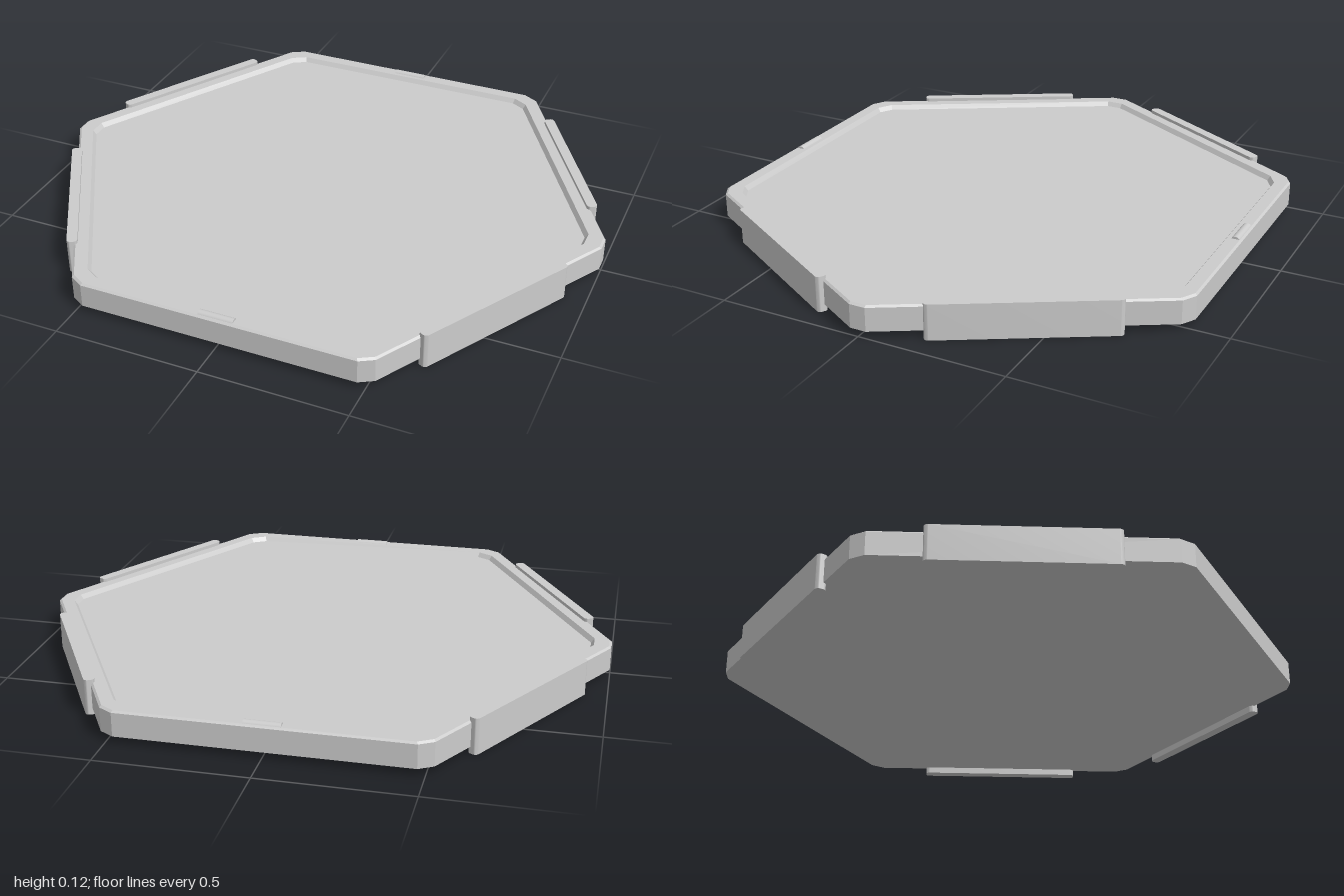
import * as THREE from 'three';
import { toCreasedNormals } from 'three/addons/utils/BufferGeometryUtils.js';

const material = new THREE.MeshStandardMaterial({ color: 0xcccccc });

// Hexagon outline with cut corners; corners lie on and around the x axis
function hexRing(apothem, radius, y) {
  const points = [];
  const reach = (apothem - radius) / Math.cos(Math.PI / 6);
  for (let k = 0; k < 6; k++) {
    const corner = (k * Math.PI) / 3;
    for (const side of [-1, 1]) {
      const a = corner + (side * Math.PI) / 6;
      points.push([
        reach * Math.cos(corner) + radius * Math.cos(a),
        y,
        reach * Math.sin(corner) + radius * Math.sin(a),
      ]);
    }
  }
  return points;
}

// Skin the outlines in order; the first and last are single centre points
function loft(rings) {
  const pos = [];
  for (let k = 0; k < rings.length - 1; k++) {
    const p = rings[k], q = rings[k + 1];
    for (let i = 0; i < p.length; i++) {
      const j = (i + 1) % p.length;
      if (k > 0) pos.push(...p[i], ...q[i], ...p[j]);
      if (k < rings.length - 2) pos.push(...p[j], ...q[i], ...q[j]);
    }
  }
  const g = new THREE.BufferGeometry();
  g.setAttribute('position', new THREE.Float32BufferAttribute(pos, 3));
  return toCreasedNormals(g, 0.3);
}

// Upright slab with rounded vertical edges, standing on y = 0
function uprightSlab(length, thickness, height, r) {
  const x = length / 2 - r, y = thickness / 2 - r;
  const s = new THREE.Shape();
  s.absarc(x, y, r, 0, Math.PI / 2);
  s.absarc(-x, y, r, Math.PI / 2, Math.PI);
  s.absarc(-x, -y, r, Math.PI, Math.PI * 1.5);
  s.absarc(x, -y, r, Math.PI * 1.5, Math.PI * 2);
  const g = new THREE.ExtrudeGeometry(s, { depth: height, bevelEnabled: false, curveSegments: 5 });
  return toCreasedNormals(g.rotateX(-Math.PI / 2), 0.5);
}

export function createModel() {
  const model = new THREE.Group();
  model.name = 'hexagonalTray';
  const add = (name, geometry) => {
    const mesh = new THREE.Mesh(geometry, material);
    mesh.name = name;
    model.add(mesh);
    return mesh;
  };

  // Tray: flat underside, outer wall, softened edge, rim, sloped inner wall, floor
  add('tray', loft([
    hexRing(0, 0, 0.023),
    hexRing(0.879, 0.055, 0.023),
    hexRing(0.879, 0.055, 0.104),
    hexRing(0.872, 0.055, 0.11),
    hexRing(0.829, 0.06, 0.11),
    hexRing(0.818, 0.055, 0.094),
    hexRing(0, 0, 0.094),
  ]));

  // Clips on the four slanted sides, reaching below the tray
  const clip = uprightSlab(0.605, 0.036, 0.122, 0.014);
  const clips = [['frontLeftClip', 30], ['frontRightClip', 150], ['backRightClip', 210], ['backLeftClip', 330]];
  for (const [name, degrees] of clips) {
    const a = THREE.MathUtils.degToRad(degrees);
    const mesh = add(name, clip);
    mesh.position.set(0.883 * Math.cos(a), 0, 0.883 * Math.sin(a));
    mesh.rotation.y = Math.PI / 2 - a;
  }

  // Small rounded ridges on the rim at front and back
  const ridge = new THREE.CylinderGeometry(0.016, 0.016, 0.12, 20).rotateZ(Math.PI / 2);
  add('frontRidge', ridge).position.set(0, 0.102, 0.857);
  add('backRidge', ridge).position.set(0, 0.102, -0.857);
  return model;
}
